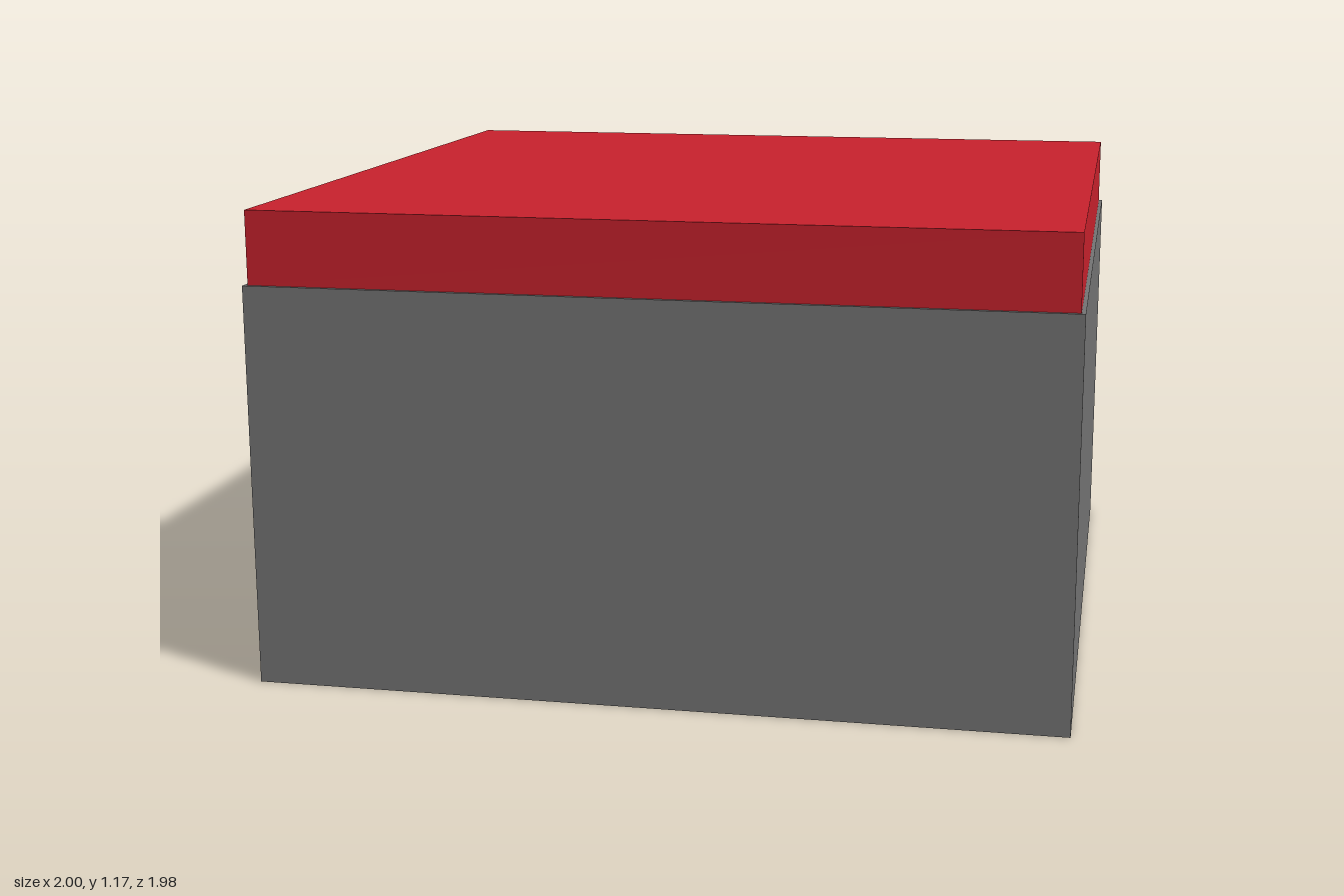
import * as THREE from 'three';

const material = (name, color) => {
  const m = new THREE.MeshStandardMaterial({ color });
  m.name = name;
  return m;
};

// Rectangle outline centred on (cx, cy), usable as a shape or as a hole
function rect(Type, cx, cy, w, h) {
  const p = new Type();
  p.moveTo(cx - w / 2, cy - h / 2);
  p.lineTo(cx + w / 2, cy - h / 2);
  p.lineTo(cx + w / 2, cy + h / 2);
  p.lineTo(cx - w / 2, cy + h / 2);
  p.closePath();
  return p;
}

export function createModel() {
  const group = new THREE.Group();
  group.name = 'house';
  const wallGrey = material('wall grey', 0x757575);
  const roofRed = material('roof red', 0xc9222d);
  const glassTeal = material('glass teal', 0x0cb3aa);
  const doorGrey = material('door light grey', 0xc2c2c2);

  const size = 1.975, height = 0.99, wallX = -0.975, glassX = -0.945;

  function box(name, mat, w, h, d, x, y, z) {
    const mesh = new THREE.Mesh(new THREE.BoxGeometry(w, h, d), mat);
    mesh.name = name;
    mesh.position.set(x, y, z);
    group.add(mesh);
  }

  // Outline drawn in (z, y), extruded outwards along -x from the given x
  function sidePart(name, mat, shape, x, depth) {
    const geo = new THREE.ExtrudeGeometry(shape, { depth, bevelEnabled: false, curveSegments: 10 });
    geo.rotateY(-Math.PI / 2);
    const mesh = new THREE.Mesh(geo, mat);
    mesh.name = name;
    mesh.position.x = x;
    group.add(mesh);
  }

  // Body and flat roof
  box('body', wallGrey, 1 - glassX, height, size, (1 + glassX) / 2, height / 2, 0);
  box('roof', roofRed, 1.955, 0.18, 1.955, 0.0125, height + 0.09, 0);

  // Side wall with the window opening
  const winZ = -0.495, winY = 0.495, outer = 0.49, inner = 0.41;
  const wall = rect(THREE.Shape, 0, height / 2, size, height);
  wall.holes.push(rect(THREE.Path, winZ, winY, inner, inner));
  sidePart('sideWall', wallGrey, wall, glassX, glassX - wallX);

  // Projecting window frame and recessed pane
  const frame = rect(THREE.Shape, winZ, winY, outer, outer);
  frame.holes.push(rect(THREE.Path, winZ, winY, inner, inner));
  sidePart('windowFrame', wallGrey, frame, wallX, 0.025);
  box('windowPane', glassTeal, 0.004, inner, inner, glassX - 0.002, winY, winZ);

  // Door with rounded top corners and a round handle opening
  const z0 = 0.33, z1 = 0.665, top = 0.68, r = 0.07;
  const door = new THREE.Shape();
  door.moveTo(z0, 0);
  door.lineTo(z1, 0);
  door.lineTo(z1, top - r);
  door.absarc(z1 - r, top - r, r, 0, Math.PI / 2, false);
  door.absarc(z0 + r, top - r, r, Math.PI / 2, Math.PI, false);
  door.closePath();
  sidePart('door', doorGrey, door, wallX, 0.003);

  const knob = new THREE.Shape().absarc(0.587, 0.335, 0.022, 0, Math.PI * 2, false);
  sidePart('doorKnob', wallGrey, knob, wallX, 0.006);

  return group;
}
